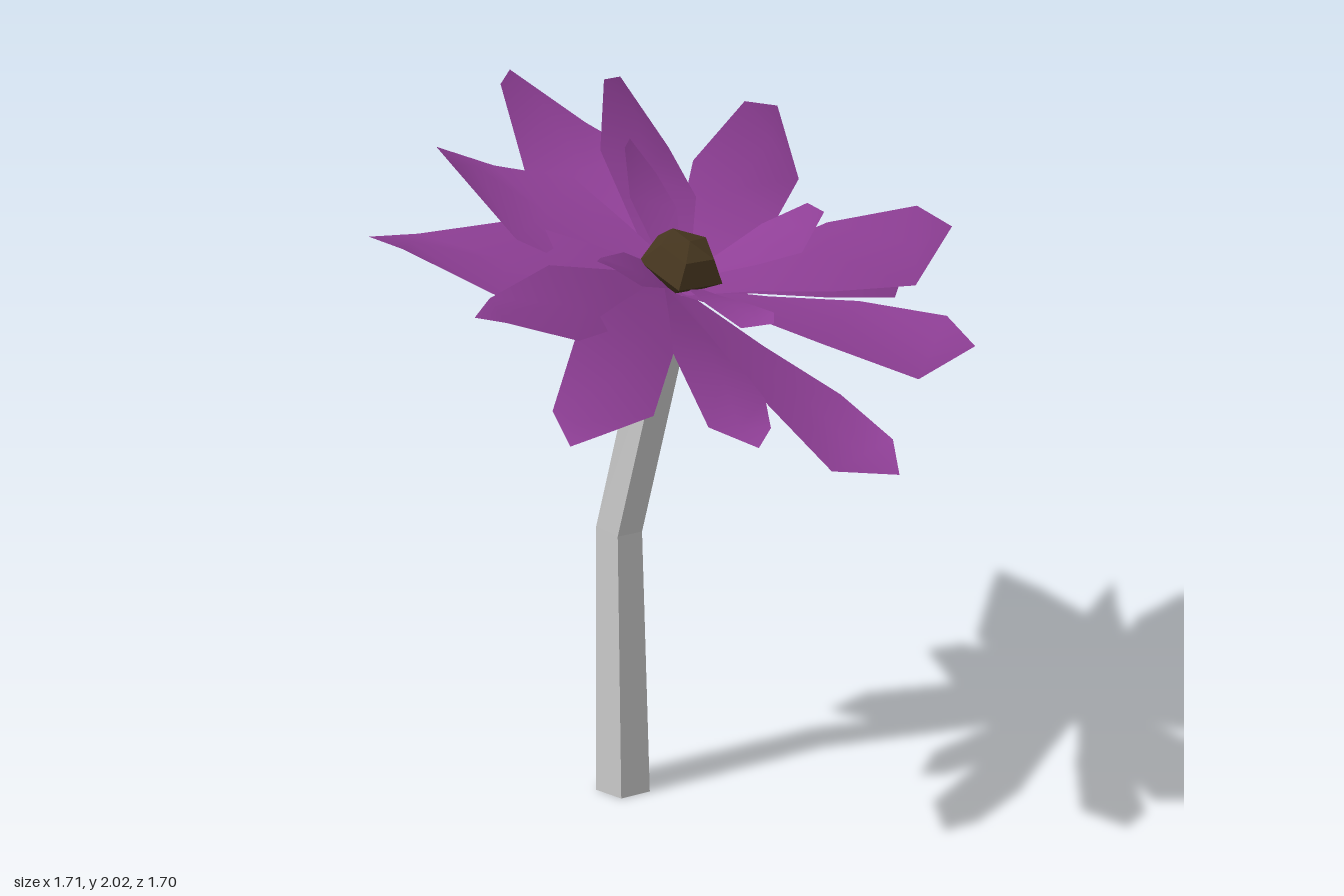
import * as THREE from 'three';

const petalMat = new THREE.MeshStandardMaterial({ color: 0x8f3f96, side: THREE.DoubleSide });
const coreMat = new THREE.MeshStandardMaterial({ color: 0x46361f, flatShading: true });
const stemMat = new THREE.MeshStandardMaterial({ color: 0xcccccc, flatShading: true });

// Tip x, y, z, then width factor and sideways lift (roll) of each petal at its middle
const outerPetals = [
  [-0.03, 1.28, 0.85, 1, 0.2], [0.47, 1.48, 0.74, 0.97, -0.1],
  [0.71, 1.70, 0.47, 0.92, -0.35], [0.85, 1.53, 0.22, 0.9, -0.35],
  [0.83, 1.84, -0.26, 0.95, -0.3], [0.45, 1.99, -0.54, 1, -0.4],
  [0.33, 1.97, -0.85, 1.1, 0.1], [-0.25, 1.98, -0.67, 1.15, 0.35],
  [-0.66, 1.86, -0.60, 0.9, 0.5], [-0.82, 1.80, -0.09, 0.75, 0.8],
  [-0.86, 1.51, 0.29, 0.9, 0.65], [-0.50, 1.49, 0.70, 0.9, 0.5],
];
const innerPetals = [
  [0.30, 1.85, 0.32, 1.1, -0.2], [-0.13, 1.69, 0.47, 0.9, 0.2],
  [-0.36, 1.84, 0.0, 0.8, 0.8], [0.12, 1.99, -0.25, 0.9, -0.1],
];

// Petal rows along its length: right edge, midrib, left edge as [along, across]
const rows = [
  [[0, 0.05], [0, 0], [0, -0.05]],
  [[0.25, 0.11], [0.28, 0], [0.3, -0.1]],
  [[0.5, 0.175], [0.55, 0], [0.6, -0.155]],
  [[0.82, 0.14], [0.86, 0.03], [0.9, -0.08]],
  [[1, 0]],
];
// Each petal twists along its length: change of lift per row
const twist = [0.3, 0.15, 0, -0.6, 0];
const faces = [];
for (let r = 0; r < 3; r++) {
  for (let c = 0; c < 2; c++) {
    const a = r * 3 + c;
    faces.push(a, a + 1, a + 3, a + 1, a + 4, a + 3);
  }
}
faces.push(9, 10, 12, 10, 11, 12);

function makePetal([x, y, z, width, lift], base, name) {
  const axis = new THREE.Vector3(x, y, z).sub(base);
  const length = axis.length();
  const side = new THREE.Vector3(-axis.z, 0, axis.x).normalize();
  const pos = [];
  rows.forEach((row, r) => row.forEach(([t, s]) => {
    const across = s * length * width;
    const p = base.clone().addScaledVector(axis, t).addScaledVector(side, across);
    p.y += across * (lift + twist[r]);
    pos.push(p.x, p.y, p.z);
  }));
  const geo = new THREE.BufferGeometry();
  geo.setAttribute('position', new THREE.Float32BufferAttribute(pos, 3));
  geo.setIndex(faces);
  geo.computeVertexNormals();
  const mesh = new THREE.Mesh(geo, petalMat);
  mesh.name = name;
  return mesh;
}

// Five-sided stem that kinks forward halfway up
function makeStem() {
  const geo = new THREE.CylinderGeometry(1, 1, 1, 5, 2, false, THREE.MathUtils.degToRad(15));
  const levels = [ // y, centre x, centre z, radius, rise towards the back
    [0, 0, -0.18, 0.082, 0],
    [0.83, -0.012, -0.185, 0.07, 0.1],
    [1.62, -0.02, 0.01, 0.068, 0.4],
  ];
  const p = geo.attributes.position;
  for (let i = 0; i < p.count; i++) {
    const [y, cx, cz, r, tilt] = levels[Math.round((p.getY(i) + 0.5) * 2)];
    const dz = p.getZ(i) * r;
    p.setXYZ(i, cx + p.getX(i) * r, y - dz * tilt, cz + dz);
  }
  const mesh = new THREE.Mesh(geo, stemMat);
  mesh.name = 'stem';
  return mesh;
}

// Faceted dome in the middle of the flower
function makeCore() {
  const profile = [[0, -0.03], [0.085, -0.025], [0.132, 0.02], [0.085, 0.085], [0, 0.105]]
    .map(([r, y]) => new THREE.Vector2(r, y));
  const mesh = new THREE.Mesh(new THREE.LatheGeometry(profile, 5, Math.PI / 2), coreMat);
  mesh.position.set(-0.02, 1.705, 0.04);
  mesh.rotation.x = 0.36;
  mesh.name = 'flowerCore';
  return mesh;
}

export function createModel() {
  const model = new THREE.Group();
  model.name = 'flower';
  const petals = new THREE.Group();
  petals.name = 'petals';
  const outerBase = new THREE.Vector3(-0.01, 1.63, 0.02);
  const innerBase = new THREE.Vector3(-0.01, 1.66, 0.03);
  outerPetals.forEach((d) => petals.add(makePetal(d, outerBase, 'outerPetal')));
  innerPetals.forEach((d) => petals.add(makePetal(d, innerBase, 'innerPetal')));
  model.add(makeStem(), petals, makeCore());
  return model;
}
